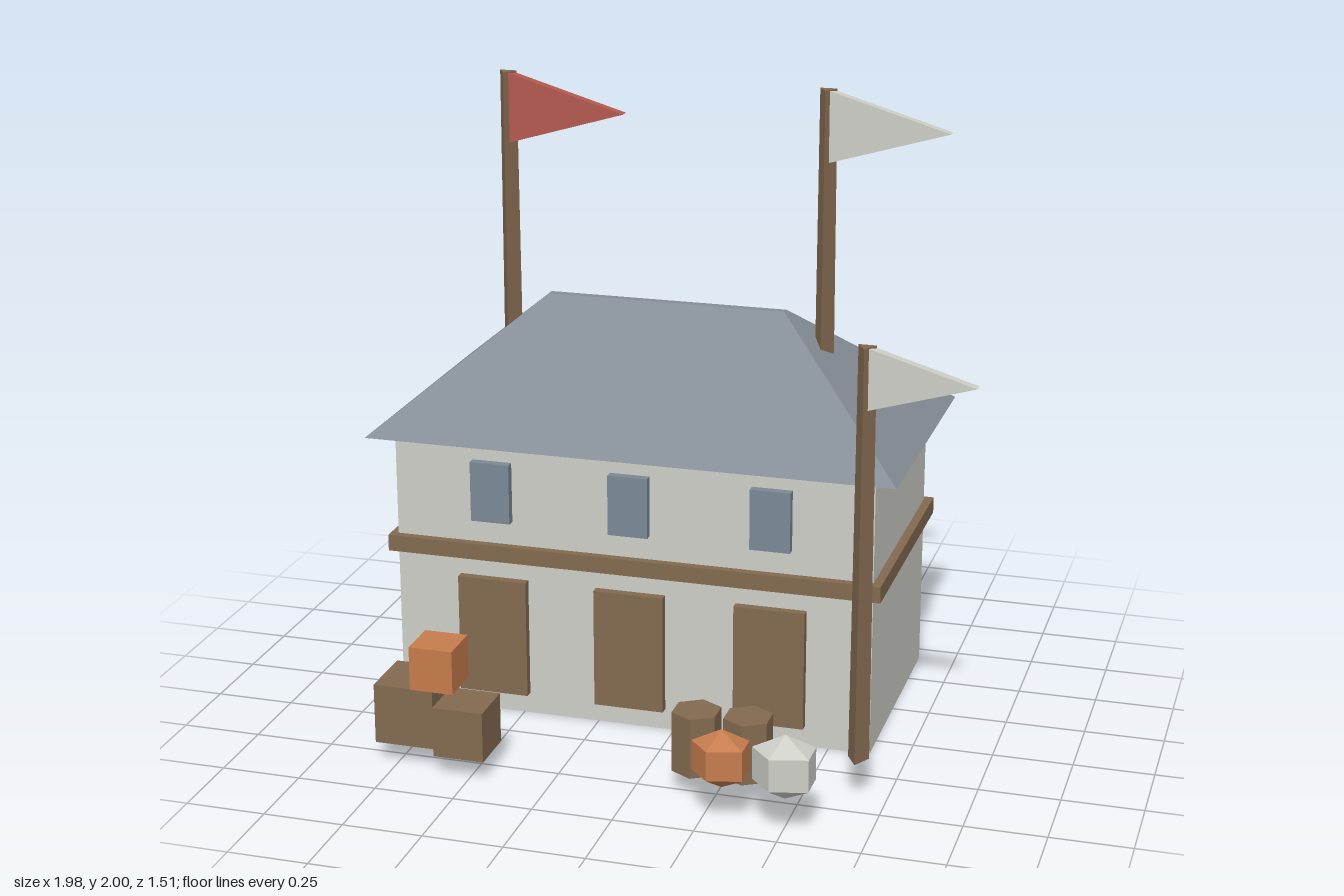
import * as THREE from 'three';

const mat = (name, color) => {
  const m = new THREE.MeshStandardMaterial({ color, flatShading: true });
  m.name = name;
  return m;
};

export function createModel() {
  const plaster = mat('plaster', 0xcdcec6);
  const wood = mat('wood', 0x836a50);
  const slate = mat('slate', 0x858d96);
  const glass = mat('glass', 0x7b8996);
  const orange = mat('orange', 0xc67c4d);
  const red = mat('red', 0xb45a50);

  const model = new THREE.Group();
  model.name = 'guardHouse';
  const add = (name, geometry, material, x = 0, y = 0, z = 0) => {
    const mesh = new THREE.Mesh(geometry, material);
    mesh.name = name;
    mesh.position.set(x, y, z);
    model.add(mesh);
    return mesh;
  };
  // Box given by its limits on each axis
  const box = (name, material, [x0, x1], [y0, y1], [z0, z1]) =>
    add(name, new THREE.BoxGeometry(x1 - x0, y1 - y0, z1 - z0), material,
      (x0 + x1) / 2, (y0 + y1) / 2, (z0 + z1) / 2);

  // Walls and the timber band around them
  box('walls', plaster, [-0.915, 0.632], [0, 0.907], [-0.675, 0.1]);
  box('timberBand', wood, [-0.94, 0.66], [0.517, 0.57], [-0.7, 0.127]);

  // Hipped roof: a box whose top is drawn in to a narrow ridge
  const roof = new THREE.BoxGeometry(1.7, 0.385, 0.93);
  const p = roof.attributes.position;
  for (let i = 0; i < p.count; i++) {
    if (p.getY(i) > 0) {
      p.setX(i, Math.sign(p.getX(i)) * 0.388);
      p.setZ(i, Math.sign(p.getZ(i)) * 0.014);
    }
  }
  roof.computeVertexNormals();
  add('roof', roof, slate, -0.14, 1.0975, -0.295);

  // Three bays, each with a door and a window
  for (const x of [-0.593, -0.142, 0.312]) {
    box('door', wood, [x - 0.113, x + 0.113], [0.068, 0.455], [0.08, 0.128]);
    box('window', glass, [x - 0.064, x + 0.064], [0.648, 0.843], [0.08, 0.128]);
  }

  // Three-sided poles with pennants
  const flag = (x, top, z, length, height, material) => {
    add('flagPole', new THREE.CylinderGeometry(0.031, 0.037, 1.285, 3), wood, x, top - 0.6425, z);
    const s = new THREE.Shape();
    s.moveTo(0, 0);
    s.lineTo(0, -height);
    s.lineTo(length, -height / 2);
    s.closePath();
    const g = new THREE.ExtrudeGeometry(s, { depth: 0.032, bevelEnabled: false });
    add('pennant', g, material, x + 0.01, top - 0.003, z - 0.018);
  };
  flag(-0.658, 2, -0.287, 0.375, 0.222, red);
  flag(0.373, 2, -0.287, 0.375, 0.222, plaster);
  flag(0.663, 1.418, 0.423, 0.312, 0.184, plaster);

  // Stacked crates
  box('largeCrate', wood, [-0.815, -0.625], [0.068, 0.26], [0.388, 0.58]);
  box('smallCrate', wood, [-0.608, -0.448], [0.068, 0.228], [0.465, 0.625]);
  box('topCrate', orange, [-0.694, -0.556], [0.26, 0.4], [0.445, 0.585]);

  // Six-sided barrels
  for (const x of [0.182, 0.342])
    add('barrel', new THREE.CylinderGeometry(0.077, 0.077, 0.192, 6), wood, x, 0.164, 0.48);

  // Faceted sacks
  const sack = (material, x, y, z, sx, sy, sz) =>
    add('sack', new THREE.SphereGeometry(1, 5, 3), material, x, y, z).scale.set(sx, sy, sz);
  sack(orange, 0.313, 0.208, 0.675, 0.105, 0.093, 0.083);
  sack(plaster, 0.506, 0.209, 0.68, 0.115, 0.102, 0.091);

  return model;
}
